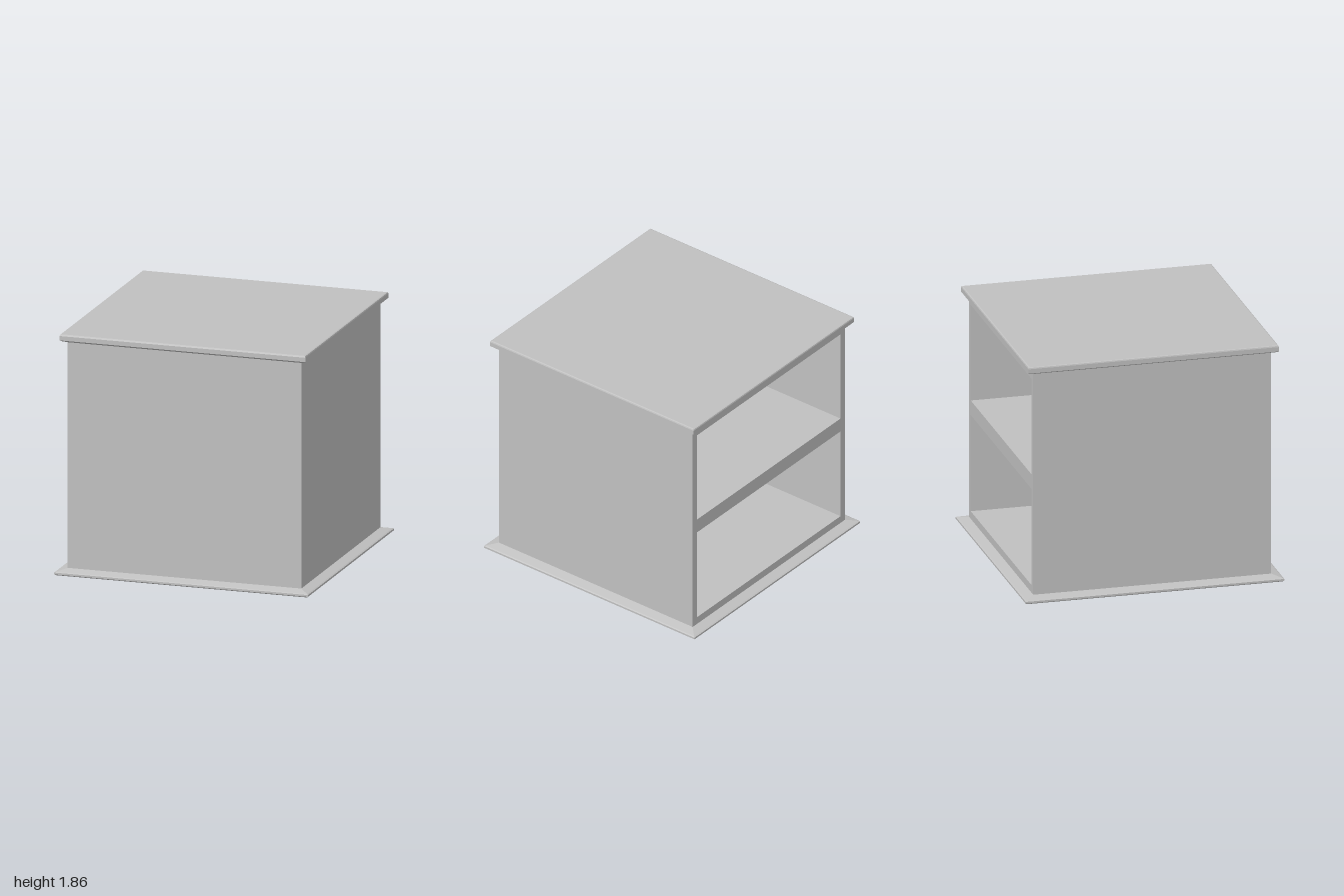
import * as THREE from 'three';

const HALF = 0.92;          // half width and depth of the carcass
const WALL = 0.055;         // panel thickness
const BOTTOM = 0.045, TOP = 1.79;

// Square slab whose edge follows a profile of [half width, height], flat shaded
function squareMoulding(profile) {
  const points = profile.map(([half, y]) => new THREE.Vector2(half * Math.SQRT2, y));
  const geometry = new THREE.LatheGeometry(points, 4, Math.PI / 4).toNonIndexed();
  geometry.computeVertexNormals();
  return geometry;
}

function rectangle(target, x0, y0, x1, y1) {
  target.moveTo(x0, y0);
  target.lineTo(x1, y0);
  target.lineTo(x1, y1);
  target.lineTo(x0, y1);
  target.closePath();
  return target;
}

export function createModel() {
  const model = new THREE.Group();
  model.name = 'cabinet';
  const grey = new THREE.MeshStandardMaterial({ color: 0xc0c0c0 });
  grey.name = 'grey';

  function add(name, geometry) {
    const mesh = new THREE.Mesh(geometry, grey);
    mesh.name = name;
    model.add(mesh);
    return mesh;
  }

  // Plinth with a sloping upper edge
  add('basePlinth', squareMoulding([
    [0, 0], [0.99, 0], [1, 0.008], [1, 0.022], [0.99, 0.027], [HALF, BOTTOM], [0, BOTTOM],
  ]));

  // Sides, shelf, floor and ceiling around two compartments open at the back
  const frame = rectangle(new THREE.Shape(), -HALF, BOTTOM, HALF, TOP);
  const inner = HALF - WALL;
  for (const [low, high] of [[0.105, 0.865], [0.98, 1.735]]) {
    frame.holes.push(rectangle(new THREE.Path(), -inner, low, inner, high));
  }
  add('carcassWithShelf', new THREE.ExtrudeGeometry(frame, {
    depth: 2 * HALF - WALL, bevelEnabled: false,
  })).position.z = -HALF;

  // Closed front
  add('frontPanel', new THREE.BoxGeometry(2 * HALF, TOP - BOTTOM, WALL))
    .position.set(0, (TOP + BOTTOM) / 2, HALF - WALL / 2);

  // Overhanging top with a bevelled underside and eased upper edge
  add('topSlab', squareMoulding([
    [0, TOP], [HALF, TOP], [0.96, 1.806], [0.968, 1.812], [0.968, 1.846],
    [0.965, 1.855], [0.957, 1.858], [0, 1.858],
  ]));

  return model;
}
